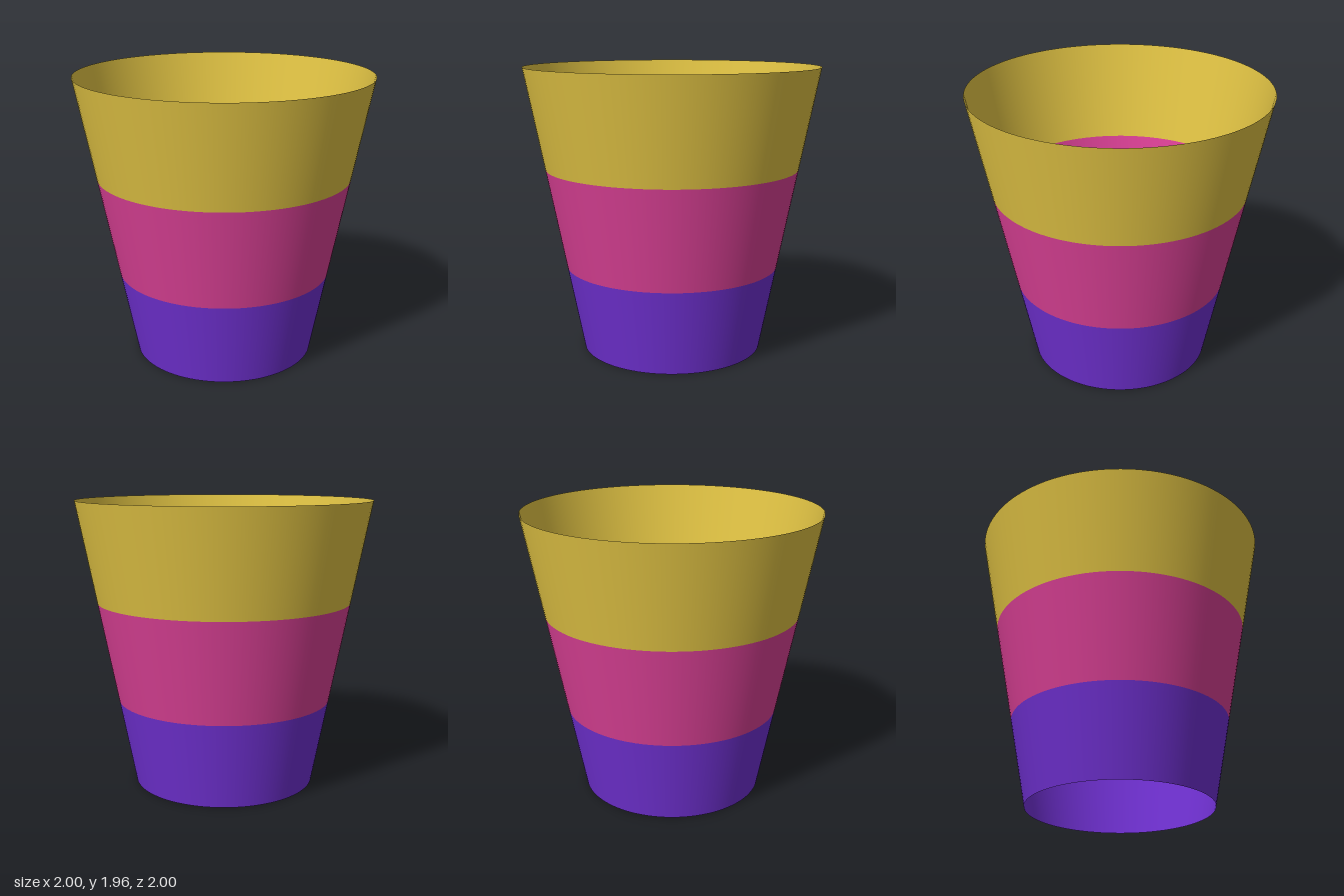
import * as THREE from 'three';

// One flat colour per band; the wall is thin and open at both ends
function bandMaterial(name, color) {
  const m = new THREE.MeshStandardMaterial({ color, side: THREE.DoubleSide });
  m.name = name;
  return m;
}

const HEIGHT = 1.955, BOTTOM_RADIUS = 0.623, TOP_RADIUS = 1;
const radiusAt = (y) => THREE.MathUtils.lerp(BOTTOM_RADIUS, TOP_RADIUS, y / HEIGHT);

export function createModel() {
  const group = new THREE.Group();
  group.name = 'taperedSleeve';

  // Stacked conical bands, bottom to top
  const bands = [
    ['lowerBand', 0, 0.588, bandMaterial('purple', 0x7131d4)],
    ['middleBand', 0.588, 1.272, bandMaterial('pink', 0xdd4197)],
    ['upperBand', 1.272, HEIGHT, bandMaterial('yellow', 0xe2c444)],
  ];
  for (const [name, y0, y1, material] of bands) {
    const geometry = new THREE.CylinderGeometry(radiusAt(y1), radiusAt(y0), y1 - y0, 96, 1, true);
    const mesh = new THREE.Mesh(geometry, material);
    mesh.name = name;
    mesh.position.y = (y0 + y1) / 2;
    group.add(mesh);
  }
  return group;
}
